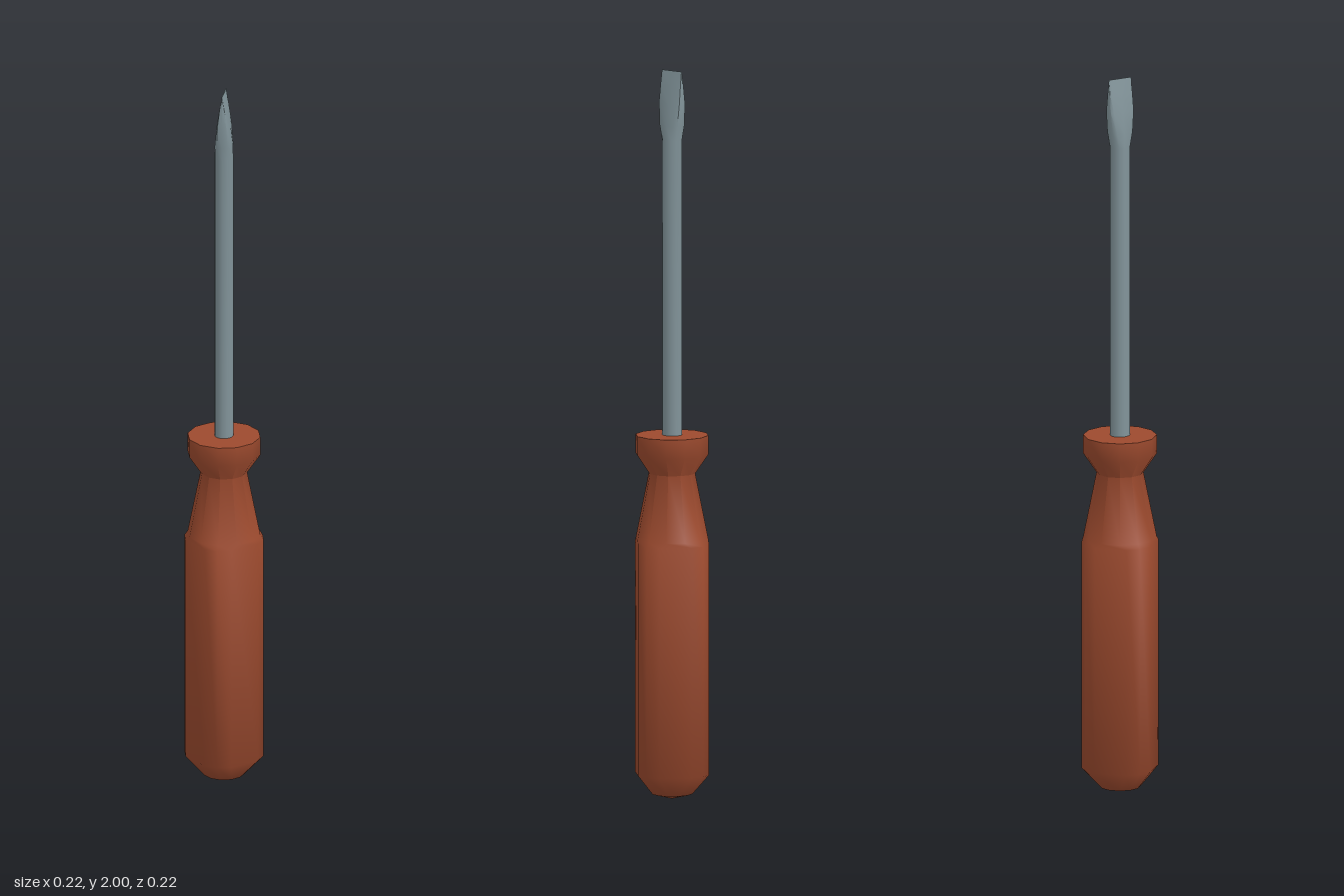
import * as THREE from 'three';
import { toCreasedNormals } from 'three/addons/utils/BufferGeometryUtils.js';

const SIDES = 12;

// Round cross-section, optionally elliptical; power below 1 squares it off
function oval(y, rx, rz = rx, power = 1) {
  const bend = (v) => Math.sign(v) * Math.abs(v) ** power;
  return Array.from({ length: SIDES }, (_, i) => {
    const a = (i / SIDES) * Math.PI * 2;
    return new THREE.Vector3(rx * bend(Math.cos(a)), y, rz * bend(Math.sin(a)));
  });
}

// Grip cross-section: four broad diagonal flats joined by shallow ridges
function gripRing(y, scale = 1) {
  const corner = [[0.109, 0], [0.1, 0.037], [0.037, 0.1]];
  return Array.from({ length: SIDES }, (_, i) => {
    const [x, z] = corner[i % 3];
    const q = Math.floor(i / 3);
    const [px, pz] = [[x, z], [-z, x], [-x, -z], [z, -x]][q];
    return new THREE.Vector3(px * scale, y, pz * scale);
  });
}

// Skin a stack of rings from bottom to top and cap both ends
function loft(rings, crease, bottomY, topY) {
  const pos = [];
  const tri = (...pts) => pts.forEach((p) => pos.push(p.x, p.y, p.z));
  const bottom = new THREE.Vector3(0, bottomY, 0);
  const top = new THREE.Vector3(0, topY, 0);
  const last = rings[rings.length - 1];
  for (let j = 0; j < SIDES; j++) {
    const k = (j + 1) % SIDES;
    for (let i = 0; i < rings.length - 1; i++) {
      const lo = rings[i], hi = rings[i + 1];
      tri(lo[j], hi[j], hi[k]);
      tri(lo[j], hi[k], lo[k]);
    }
    tri(bottom, rings[0][j], rings[0][k]);
    tri(top, last[k], last[j]);
  }
  const geo = new THREE.BufferGeometry();
  geo.setAttribute('position', new THREE.Float32BufferAttribute(pos, 3));
  return toCreasedNormals(geo, crease);
}

export function createModel() {
  const handleMat = new THREE.MeshStandardMaterial({ color: 0x9c4a2e });
  handleMat.name = 'rust handle';
  const steelMat = new THREE.MeshStandardMaterial({ color: 0x82949a });
  steelMat.name = 'steel';

  const group = new THREE.Group();
  group.name = 'screwdriver';
  const add = (name, geo, mat) => {
    const mesh = new THREE.Mesh(geo, mat);
    mesh.name = name;
    group.add(mesh);
  };

  // Handle: domed butt, faceted grip, tapering neck, flared collar
  add('handle', loft([
    oval(0.014, 0.056),
    gripRing(0.07),
    gripRing(0.702),
    oval(0.715, 0.1),
    oval(0.895, 0.064),
    oval(0.948, 0.1),
    oval(1.0, 0.1),
  ], 0.9, 0, 1.0), handleMat);

  // Shaft and blade: round rod that widens in z and pinches to an edge in x
  add('shaftAndBlade', loft([
    oval(0.99, 0.026, 0.028),
    oval(1.81, 0.026, 0.028),
    oval(1.85, 0.0245, 0.034, 0.7),
    oval(1.91, 0.017, 0.038, 0.45),
    oval(1.96, 0.0085, 0.0365, 0.35),
    oval(2.0, 0.001, 0.035, 0.3),
  ], 0.9, 0.99, 2.0), steelMat);

  return group;
}
